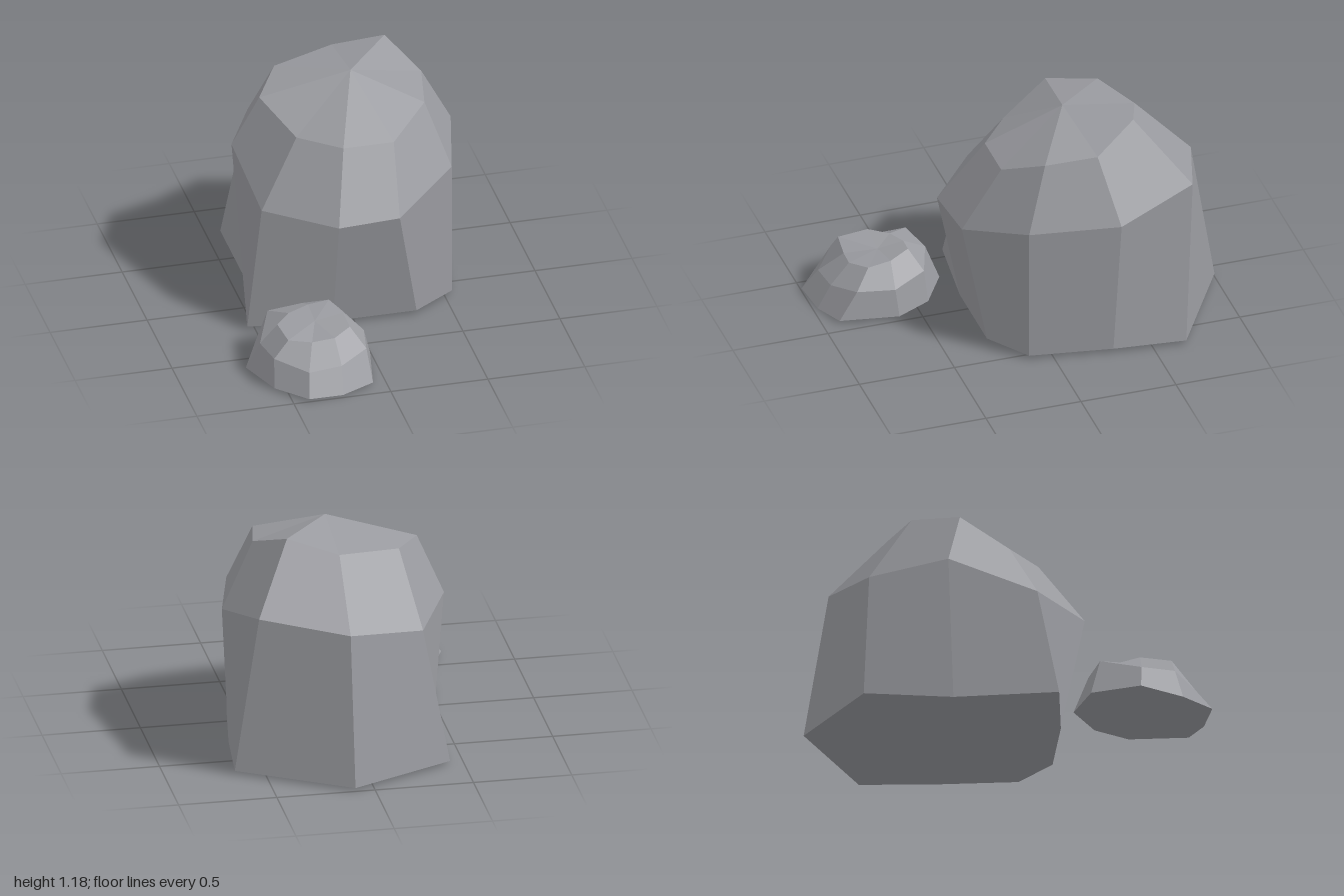
import * as THREE from 'three';

const material = new THREE.MeshStandardMaterial({ color: 0x9a9ba0 });

// Skins stacked nine-sided rings of [x, y, z], closed by a point at the top and at the base.
// Each facet carries one normal, so the four-sided ones show no diagonal.
function makeRock(name, rings, top, base) {
  const pos = [], normals = [];
  const facet = (a, b, c, d) => {
    const [va, vb, vc, vd] = [a, b, c, d].map((p) => new THREE.Vector3(...p));
    const normal = vc.sub(va).cross(vd.sub(vb)).normalize().toArray();
    for (const p of [a, b, c, a, c, d]) {
      pos.push(...p);
      normals.push(...normal);
    }
  };
  const tri = (a, b, c) => {
    const [va, vb, vc] = [a, b, c].map((p) => new THREE.Vector3(...p));
    const normal = vb.sub(va).cross(vc.sub(va)).normalize().toArray();
    pos.push(...a, ...b, ...c);
    normals.push(...normal, ...normal, ...normal);
  };
  const n = rings[0].length;
  const last = rings[rings.length - 1];
  for (let i = 0; i < n; i++) {
    const j = (i + 1) % n;
    for (let r = 0; r < rings.length - 1; r++) {
      facet(rings[r][i], rings[r + 1][i], rings[r + 1][j], rings[r][j]);
    }
    tri(last[j], last[i], top);
    tri(rings[0][i], rings[0][j], base);
  }
  const geometry = new THREE.BufferGeometry();
  geometry.setAttribute('position', new THREE.Float32BufferAttribute(pos, 3));
  geometry.setAttribute('normal', new THREE.Float32BufferAttribute(normals, 3));
  const mesh = new THREE.Mesh(geometry, material);
  mesh.name = name;
  return mesh;
}

export function createModel() {
  const group = new THREE.Group();
  group.name = 'rocks';

  // Boulder: base, shoulder and crown rings, clockwise from the back
  group.add(makeRock('boulder', [
    [[0.10, 0.018, -1.0], [0.65, 0.018, -0.67], [0.61, 0.018, -0.30],
      [0.54, 0.018, 0.12], [0.32, 0.018, 0.27], [-0.11, 0.018, 0.27],
      [-0.54, 0.018, 0.22], [-0.43, 0.018, -0.30], [-0.43, 0.018, -0.75]],
    [[0.10, 0.79, -0.875], [0.54, 0.86, -0.74], [0.65, 0.755, -0.33],
      [0.54, 0.73, 0.12], [0.21, 0.615, 0.365], [-0.11, 0.615, 0.39],
      [-0.44, 0.615, 0.12], [-0.48, 0.755, -0.33], [-0.30, 0.72, -0.71]],
    [[0.10, 1.108, -0.58], [0.35, 1.178, -0.49], [0.48, 1.08, -0.26],
      [0.43, 1.05, 0], [0.23, 0.94, 0.165], [-0.03, 0.94, 0.165],
      [-0.23, 0.94, 0], [-0.355, 1.045, -0.26], [-0.22, 1.08, -0.49]],
  ], [0.10, 1.172, -0.20], [0.08, 0.018, -0.30]));

  // Small stone: the same three rings, clockwise from its right side, with a sunken top
  group.add(makeRock('smallStone', [
    [[-0.65, 0.02, 0.62], [-0.54, 0.02, 0.38], [-0.30, 0.02, 0.315],
      [-0.10, 0.02, 0.44], [-0.01, 0.02, 0.62], [-0.07, 0.015, 0.915],
      [-0.24, 0, 0.975], [-0.42, 0.015, 1.0], [-0.56, 0.01, 0.84]],
    [[-0.58, 0.155, 0.63], [-0.49, 0.22, 0.43], [-0.30, 0.215, 0.39],
      [-0.12, 0.19, 0.455], [-0.045, 0.157, 0.63], [-0.08, 0.16, 0.82],
      [-0.23, 0.13, 0.91], [-0.40, 0.12, 0.92], [-0.55, 0.155, 0.80]],
    [[-0.49, 0.25, 0.63], [-0.41, 0.255, 0.54], [-0.30, 0.27, 0.505],
      [-0.195, 0.288, 0.515], [-0.15, 0.265, 0.62], [-0.145, 0.25, 0.74],
      [-0.24, 0.237, 0.81], [-0.355, 0.222, 0.80], [-0.475, 0.245, 0.79]],
  ], [-0.30, 0.25, 0.64], [-0.32, 0.015, 0.65]));

  return group;
}
